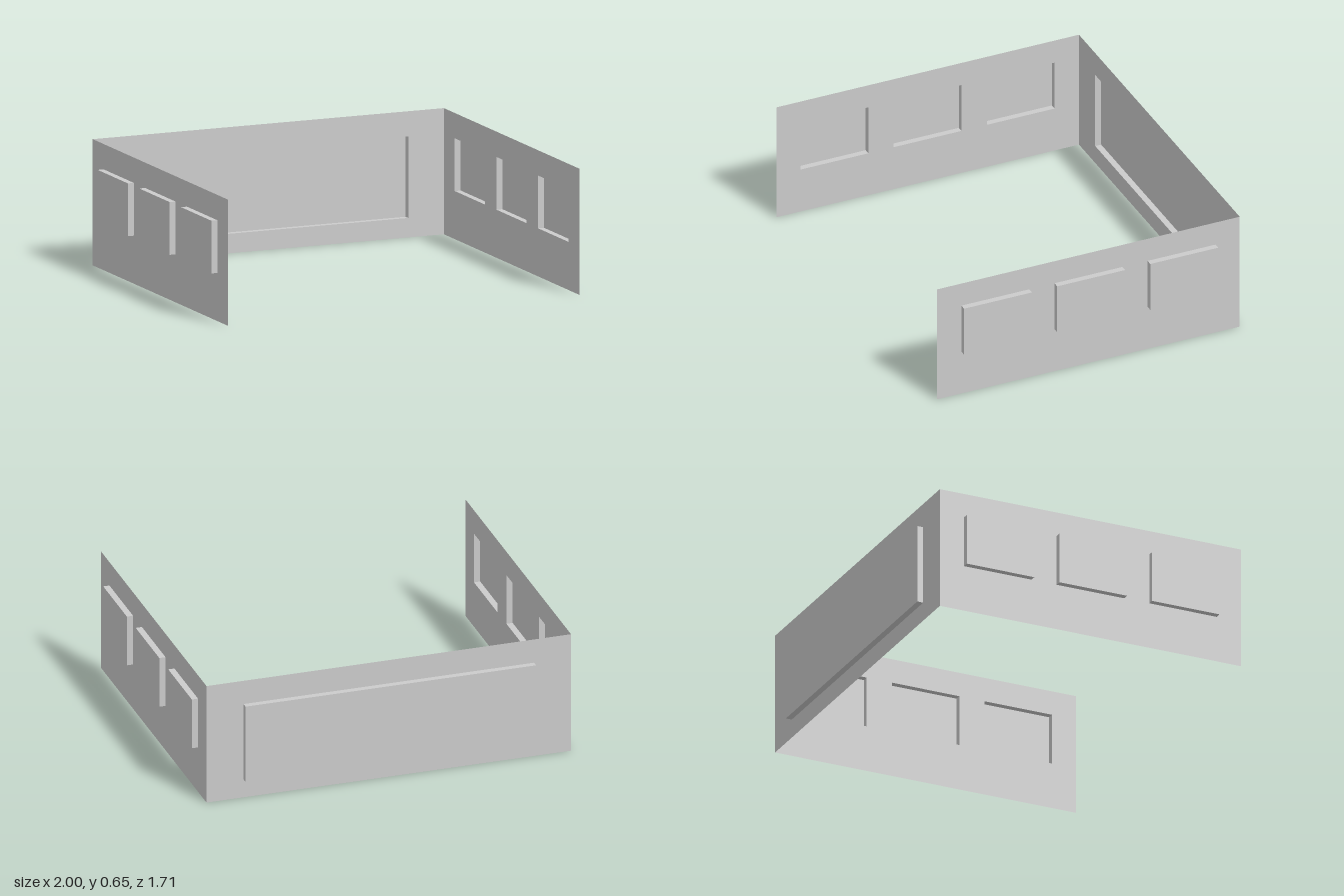
import * as THREE from 'three';

const material = new THREE.MeshStandardMaterial({ color: 0xcccccc, side: THREE.DoubleSide, flatShading: true });

const HEIGHT = 0.648;     // wall height
const DEPTH = 0.033;      // how far the panels stand out of the walls
const HALF_X = 0.967;     // side walls at +-HALF_X
const FRONT_Z = 0.855;
const BACK_Z = -0.822;

function rectangle(PathType, x0, x1, y0, y1) {
  return new PathType([[x0, y0], [x1, y0], [x1, y1], [x0, y1]].map(([x, y]) => new THREE.Vector2(x, y)));
}

function addPlane(group, name, width, height, position, rotation = [0, 0, 0]) {
  const mesh = new THREE.Mesh(new THREE.PlaneGeometry(width, height), material);
  mesh.name = name;
  mesh.position.set(...position);
  mesh.rotation.set(...rotation);
  group.add(mesh);
}

// Thin pressed panel: open behind, standing out along +z
function createPanel({ x, width, y0, y1 }) {
  const panel = new THREE.Group();
  panel.name = 'raisedPanel';
  const h = y1 - y0, y = (y0 + y1) / 2, q = Math.PI / 2;
  addPlane(panel, 'panelFace', width, h, [x, y, DEPTH]);
  for (const s of [-1, 1]) {
    addPlane(panel, 'panelSide', DEPTH, h, [x + s * width / 2, y, DEPTH / 2], [0, s * q, 0]);
    addPlane(panel, 'panelEdge', width, DEPTH, [x, y + s * h / 2, DEPTH / 2], [-s * q, 0, 0]);
  }
  return panel;
}

// Thin wall sheet, cut out behind each raised panel; +z is outward
function createWall(name, length, panels) {
  const wall = new THREE.Group();
  wall.name = name;
  const shape = rectangle(THREE.Shape, -length / 2, length / 2, 0, HEIGHT);
  for (const p of panels) {
    shape.holes.push(rectangle(THREE.Path, p.x - p.width / 2, p.x + p.width / 2, p.y0, p.y1));
    wall.add(createPanel(p));
  }
  const sheet = new THREE.Mesh(new THREE.ShapeGeometry(shape), material);
  sheet.name = 'wallSheet';
  wall.add(sheet);
  return wall;
}

export function createModel() {
  const model = new THREE.Group();
  model.name = 'panelledWalls';

  // Side walls with three panels each
  const sidePanels = [-0.516, 0, 0.516].map((x) => ({ x, width: 0.376, y0: 0.247, y1: 0.518 }));
  for (const side of [-1, 1]) {
    const wall = createWall(side > 0 ? 'leftWall' : 'rightWall', FRONT_Z - BACK_Z, sidePanels);
    wall.rotation.y = side * Math.PI / 2;
    wall.position.set(side * HALF_X, 0, (FRONT_Z + BACK_Z) / 2);
    model.add(wall);
  }

  // Back wall with one wide panel
  const back = createWall('backWall', HALF_X * 2, [{ x: 0, width: 1.542, y0: 0.1, y1: 0.519 }]);
  back.rotation.y = Math.PI;
  back.position.z = BACK_Z;
  model.add(back);

  return model;
}
